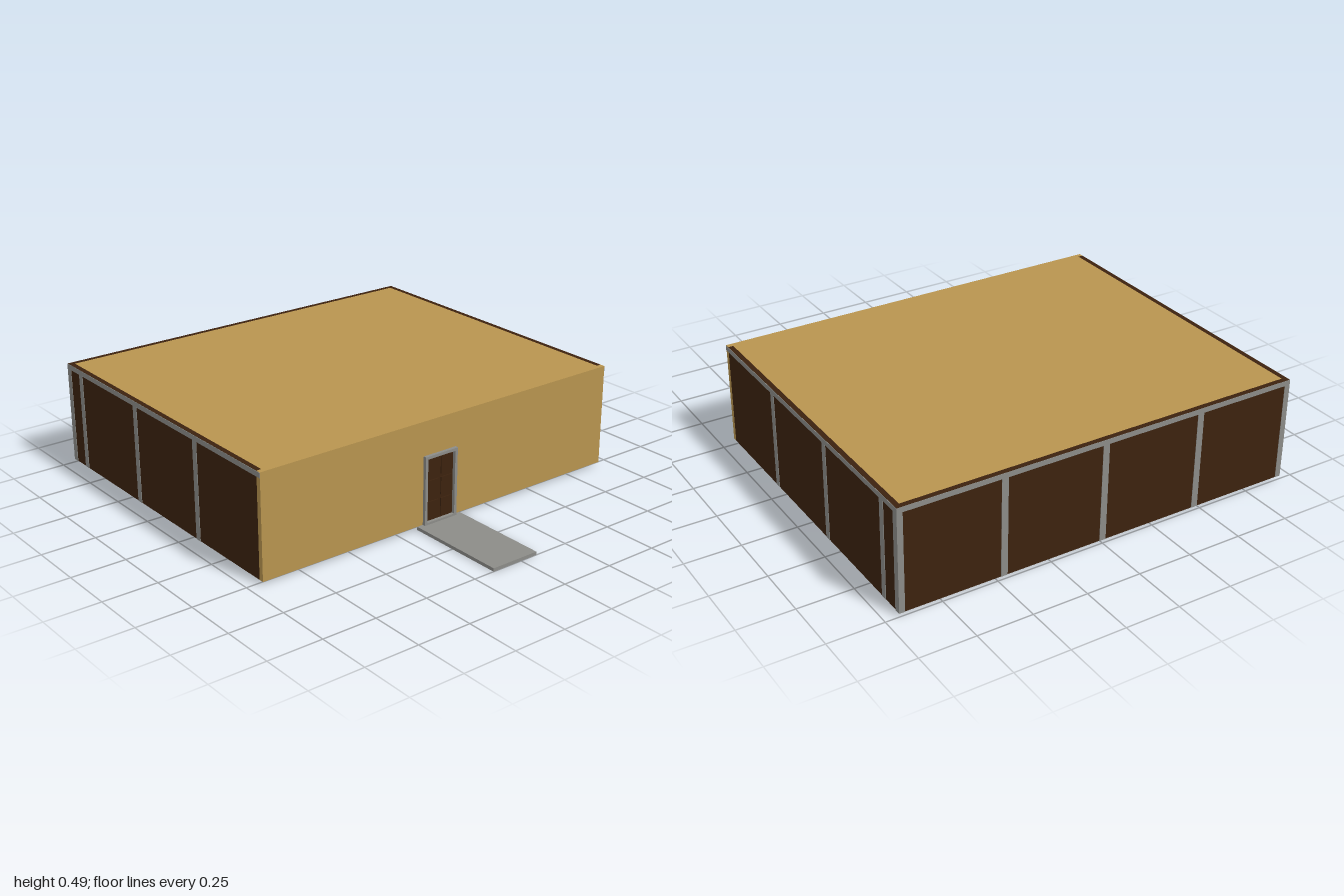
import * as THREE from 'three';

const mat = (name, color) => Object.assign(new THREE.MeshStandardMaterial({ color }), { name });

export function createModel() {
  const tan = mat('tan plaster', 0xb8944f);
  const brown = mat('dark brown panel', 0x3c220e);
  const grey = mat('grey metal', 0x8c8c88);
  const model = new THREE.Group();
  model.name = 'pavilion';

  // Box given by its minimum and maximum corners
  const box = (name, material, [x0, y0, z0], [x1, y1, z1], parent = model) => {
    const mesh = new THREE.Mesh(new THREE.BoxGeometry(x1 - x0, y1 - y0, z1 - z0), material);
    mesh.position.set((x0 + x1) / 2, (y0 + y1) / 2, (z0 + z1) / 2);
    mesh.name = name;
    parent.add(mesh);
    return mesh;
  };

  const X = 0.938, BACK = -0.998, FRONT = 0.525, T = 0.023; // outer faces and wall thickness
  const BASE = 0.015, TOP = 0.486, RAIL = 0.024, OUT = 0.002;
  const inner = FRONT - T;
  const door = { x0: -0.12, x1: 0.055, y1: 0.33 };

  // Front wall with a doorway cut through it
  const shape = new THREE.Shape([[-X, BASE], [door.x0, BASE], [door.x0, door.y1], [door.x1, door.y1],
    [door.x1, BASE], [X, BASE], [X, TOP], [-X, TOP]].map(([x, y]) => new THREE.Vector2(x, y)));
  const frontWall = new THREE.Mesh(new THREE.ExtrudeGeometry(shape, { depth: T, bevelEnabled: false }), tan);
  frontWall.position.z = inner;
  frontWall.name = 'frontWall';
  model.add(frontWall);

  // Roof slab set between the walls, open underneath
  box('roof', tan, [-X + T, TOP - 0.012, BACK + T], [X - T, TOP, inner]);

  // Back wall with its rail and posts
  box('backWall', brown, [-X, BASE, BACK], [X, TOP, BACK + T]);
  const backFrame = new THREE.Group();
  backFrame.name = 'backFrame';
  model.add(backFrame);
  const zb = BACK - OUT;
  box('backRail', grey, [-X, TOP - RAIL, zb], [X, TOP - 0.001, BACK], backFrame);
  for (const x of [-X + 0.012, -0.47, 0, 0.47, X - 0.012]) {
    const half = Math.abs(x) > 0.9 ? 0.012 : 0.015;
    box('backPost', grey, [x - half, BASE, zb], [x + half, TOP - RAIL, BACK], backFrame);
  }

  // Side walls, mirrored, with rails and posts
  for (const s of [-1, 1]) {
    const side = s > 0 ? 'left' : 'right';
    const slab = (name, material, a, b, y0, y1, z0, z1) =>
      box(side + name, material, [Math.min(s * a, s * b), y0, z0], [Math.max(s * a, s * b), y1, z1]);
    slab('Wall', brown, X - T, X, BASE, TOP, BACK + T, inner);
    slab('Rail', grey, X, X + OUT, TOP - RAIL, TOP - 0.001, BACK - OUT, FRONT);
    for (const z of [0.06, -0.41, -0.88, -0.985])
      slab('Post', grey, X, X + OUT, BASE, TOP - RAIL, z - 0.015, z + 0.015);
  }

  // Door leaf with raised panels in a grey frame
  const entrance = new THREE.Group();
  entrance.name = 'entrance';
  model.add(entrance);
  const { x0, x1, y1 } = door, F = 0.013, zf = 0.54;
  box('doorLeaf', brown, [x0 + F, BASE, inner], [x1 - F, y1 - F, FRONT], entrance);
  box('frameSide', grey, [x0, BASE, inner], [x0 + F, y1, zf], entrance);
  box('frameSide', grey, [x1 - F, BASE, inner], [x1, y1, zf], entrance);
  box('frameTop', grey, [x0 + F, y1 - F, inner], [x1 - F, y1, zf], entrance);
  box('sill', grey, [x0 + F, BASE, FRONT], [x1 - F, BASE + 0.01, zf], entrance);
  const w = (x1 - x0 - 2 * F) / 2, h = (y1 - F - BASE - 0.01) / 3;
  for (let i = 0; i < 2; i++) for (let j = 0; j < 3; j++) {
    const px = x0 + F + i * w, py = BASE + 0.01 + j * h;
    box('doorPanel', brown, [px + 0.007, py + 0.008, FRONT], [px + w - 0.007, py + h - 0.008, FRONT + 0.005], entrance);
  }

  // Entry path
  box('path', grey, [-0.15, 0, FRONT], [0.085, BASE, 1]);

  return model;
}
